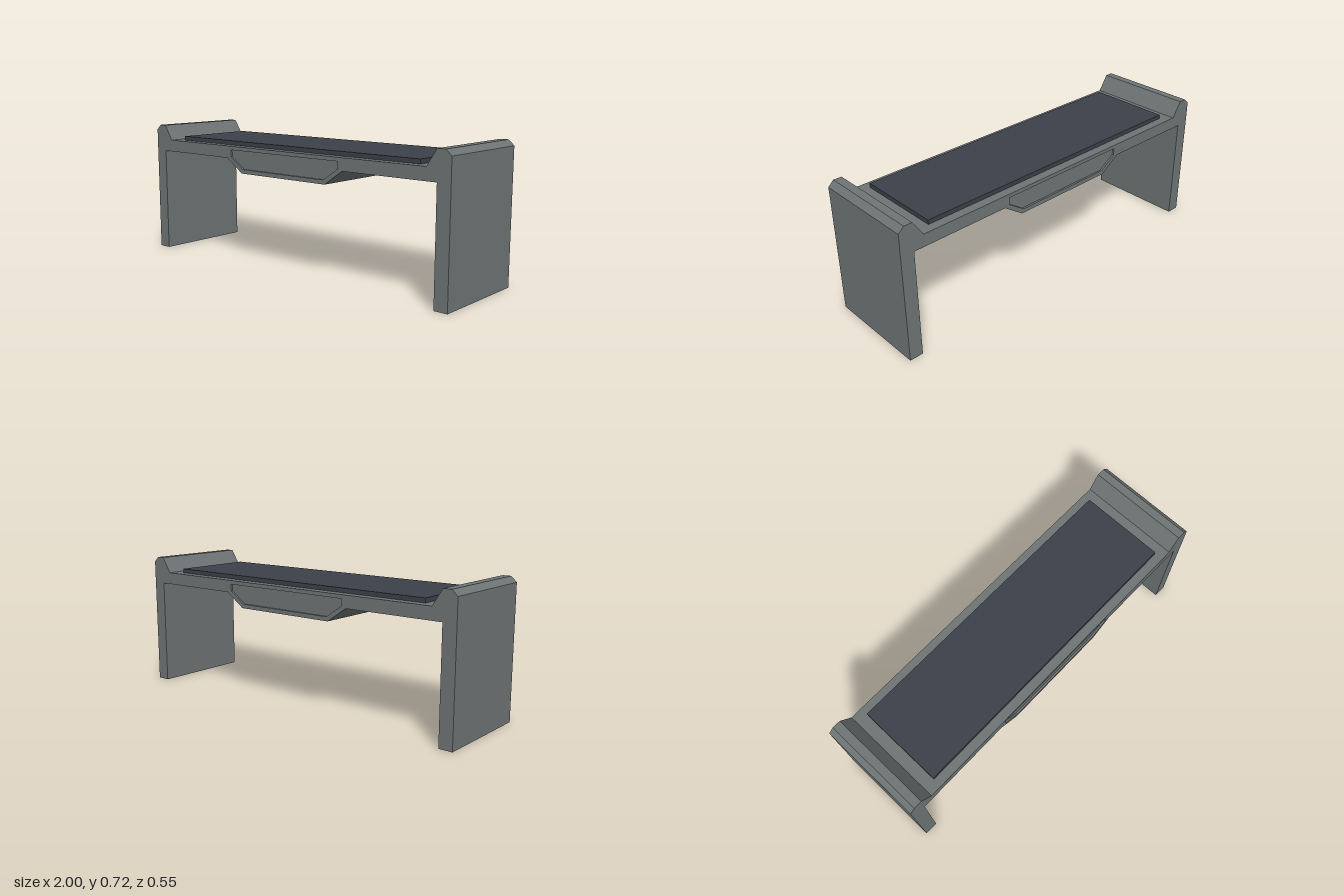
import * as THREE from 'three';

const DEPTH = 0.552;
const RECESS = 0.01;

// Mirrors a half outline (x >= 0, listed counter-clockwise) to the -x side
function mirrored(half) {
  const other = half.map(([x, y]) => [-x, y]).reverse();
  return [...half, ...other].map(([x, y]) => new THREE.Vector2(x, y));
}

// Extrudes a shape along z, centred on z = 0
function extruded(shape, depth) {
  const geometry = new THREE.ExtrudeGeometry(shape, { depth, bevelEnabled: false });
  return geometry.translate(0, 0, -depth / 2);
}

export function createModel() {
  const group = new THREE.Group();
  group.name = 'bench';

  const stone = new THREE.MeshStandardMaterial({ color: 0x6e7475 });
  stone.name = 'grey stone';
  const padding = new THREE.MeshStandardMaterial({ color: 0x3c4049 });
  padding.name = 'dark slate';

  const add = (name, geometry, material) => {
    const mesh = new THREE.Mesh(geometry, material);
    mesh.name = name;
    group.add(mesh);
    return mesh;
  };

  // Legs, beam, belly and raised end lips share one profile
  const profile = mirrored([
    [0.29, 0.5], [0.4, 0.575], [0.928, 0.575], [0.928, 0], [1, 0],
    [1, 0.695], [0.97, 0.723], [0.926, 0.723], [0.872, 0.64],
  ]);
  // Shallow panel on the belly, sunk into both long faces
  const panel = mirrored([[0.28, 0.522], [0.372, 0.583], [0.372, 0.62]]);

  const frame = new THREE.Shape(profile);
  frame.holes.push(new THREE.Path(panel));
  add('frame', extruded(frame, DEPTH), stone);
  add('recessedPanel', extruded(new THREE.Shape(panel), DEPTH - 2 * RECESS), stone);

  // Seat pad on top of the beam
  add('seatPad', new THREE.BoxGeometry(1.62, 0.024, 0.456), padding).position.y = 0.651;

  return group;
}
